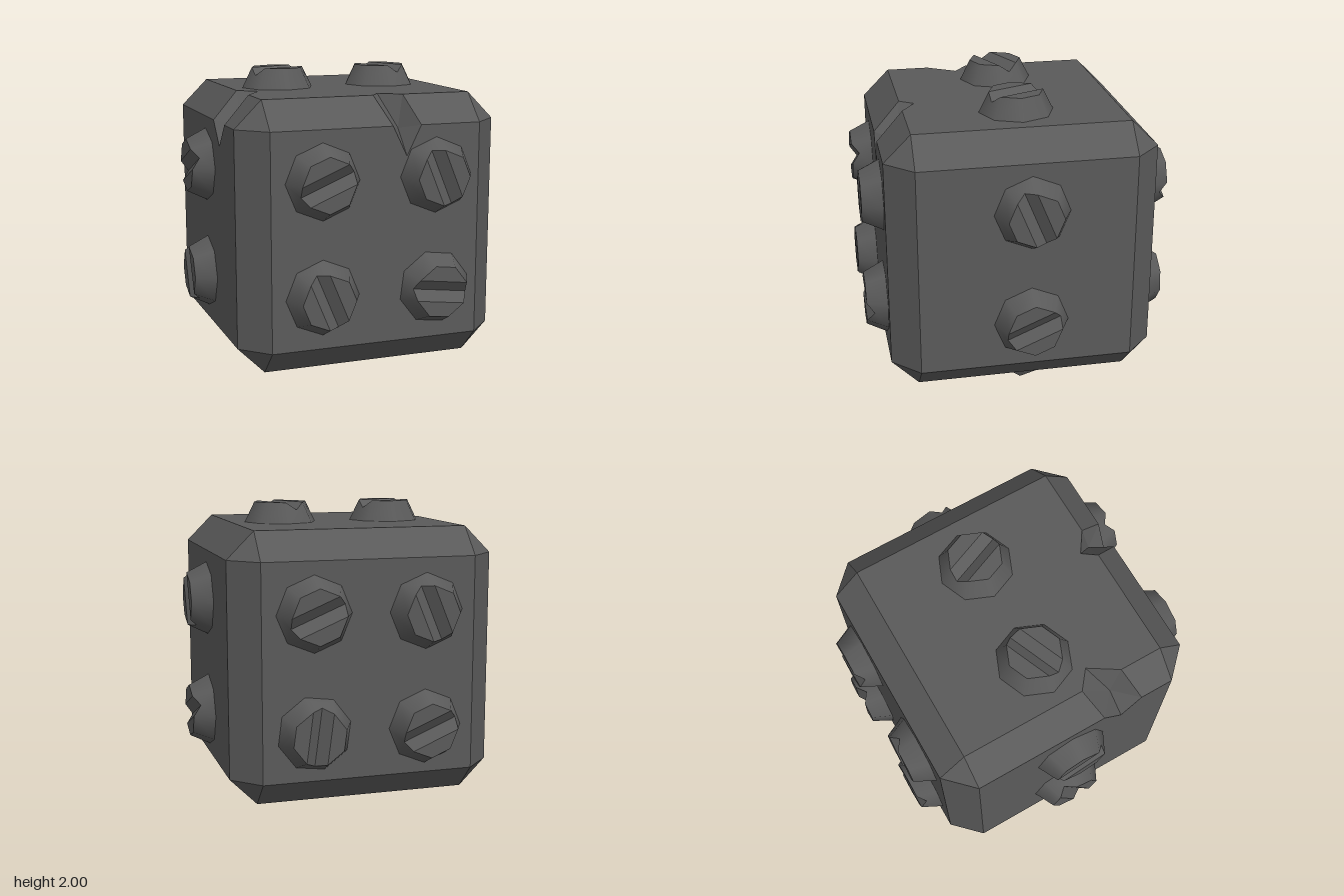
import * as THREE from 'three';

const H = 0.867, C = 0.692;            // half size of the block, half size of its flat faces
const V = (x, y, z) => new THREE.Vector3(x, y, z);

// Collects triangles; each is turned so that it faces along `out`
function addTri(list, a, b, c, out) {
  const n = b.clone().sub(a).cross(c.clone().sub(a));
  list.push(...(n.dot(out) < 0 ? [a, c, b] : [a, b, c]));
}

// Flat polygon (may be concave), triangulated in its own plane
function addFace(list, pts, out) {
  const n = V(0, 0, 0);
  pts.forEach((p, i) => n.add(p.clone().cross(pts[(i + 1) % pts.length])));
  n.normalize();
  const u = pts[1].clone().sub(pts[0]).normalize(), w = n.clone().cross(u);
  const flat = pts.map(p => new THREE.Vector2(p.dot(u), p.dot(w)));
  for (const [a, b, c] of THREE.ShapeUtils.triangulateShape(flat, []))
    addTri(list, pts[a], pts[b], pts[c], out);
}

function toGeometry(list) {
  const g = new THREE.BufferGeometry().setFromPoints(list);
  g.computeVertexNormals();
  return g;
}

// Chips in the two upper edges: tip on top, left pair, lower tip, right pair, valley
const frontChip = {
  T: V(0.10, H, 0.60), A1: V(0.035, H, C), A2: V(0.10, C, H), F: V(0.195, 0.50, H),
  B2: V(0.29, C, H), B1: V(0.235, H, C), valley: V(0.19, 0.66, 0.73)
};
const sideChip = {
  T: V(-0.575, H, 0.225), A1: V(-C, H, 0.13), A2: V(-H, C, 0.20), F: V(-H, 0.54, 0.335),
  B2: V(-H, C, 0.47), B1: V(-C, H, 0.41), valley: V(-0.72, 0.66, 0.33)
};

function blockGeometry() {
  const list = [], f = frontChip, s = sideChip;
  const add = pts => addFace(list, pts, pts.reduce((m, p) => m.add(p), V(0, 0, 0)));
  const at = (i, a, j, b, k, c) => { const p = V(0, 0, 0); p.setComponent(i, a); p.setComponent(j, b); p.setComponent(k, c); return p; };

  // Whole flat faces: right, back and bottom
  for (const [i, side] of [[0, 1], [1, -1], [2, -1]]) {
    const j = (i + 1) % 3, k = (i + 2) % 3;
    add([[-C, -C], [C, -C], [C, C], [-C, C]].map(([a, b]) => at(i, side * H, j, a, k, b)));
  }
  // Flat faces cut by the chips
  add([V(-C, H, -C), V(C, H, -C), V(C, H, C), f.B1, f.T, f.A1, V(-C, H, C), s.B1, s.T, s.A1]);
  add([V(-C, -C, H), V(C, -C, H), V(C, C, H), f.B2, f.F, f.A2, V(-C, C, H)]);
  add([V(-H, -C, -C), V(-H, -C, C), V(-H, C, C), s.B2, s.F, s.A2, V(-H, C, -C)]);

  // Bevelled edges
  for (let k = 0; k < 3; k++) for (const a of [-1, 1]) for (const b of [-1, 1]) {
    const i = (k + 1) % 3, j = (k + 2) % 3;
    if ((k === 0 && a > 0 && b > 0) || (k === 2 && a < 0 && b > 0)) continue;
    add([at(i, a * H, j, b * C, k, -C), at(i, a * H, j, b * C, k, C),
      at(i, a * C, j, b * H, k, C), at(i, a * C, j, b * H, k, -C)]);
  }
  add([V(-C, H, C), f.A1, f.A2, V(-C, C, H)]);
  add([f.B1, V(C, H, C), V(C, C, H), f.B2]);
  add([V(-C, H, -C), s.A1, s.A2, V(-H, C, -C)]);
  add([s.B1, V(-C, H, C), V(-H, C, C), s.B2]);

  // Corner triangles
  for (const x of [-1, 1]) for (const y of [-1, 1]) for (const z of [-1, 1])
    add([V(x * H, y * C, z * C), V(x * C, y * H, z * C), V(x * C, y * C, z * H)]);
  return toGeometry(list);
}

// Inner faces of a chip, fanned around the valley point
function chipGeometry(c) {
  const ring = [c.T, c.A1, c.A2, c.F, c.B2, c.B1], list = [];
  const mid = ring.reduce((m, p) => m.add(p), V(0, 0, 0)).divideScalar(6);
  const out = mid.sub(c.valley);
  ring.forEach((p, i) => addTri(list, p, ring[(i + 1) % 6], c.valley, out));
  return toGeometry(list);
}

// Eight-sided screw head along +z, with a V slot along x
function studGeometry() {
  const R = 0.242, r = 0.175, h = 0.133, depth = 0.048, list = [];
  const ring = (rad, z) => Array.from({ length: 8 }, (_, i) => {
    const a = (i - 0.5) * Math.PI / 4;
    return V(rad * Math.cos(a), rad * Math.sin(a), z);
  });
  const base = ring(R, 0), top = ring(r, h);
  const reach = (r + (R - r) * depth / h) * Math.cos(Math.PI / 8);
  const ends = { 0: V(reach, 0, h - depth), 4: V(-reach, 0, h - depth) };

  // Sloping sides, notched where the slot runs out
  for (let i = 0; i < 8; i++) {
    const j = (i + 1) % 8, e = ends[i], out = base[i].clone().add(base[j]);
    if (e) {
      addTri(list, base[i], base[j], e, out);
      addTri(list, base[i], e, top[i], out);
      addTri(list, base[j], top[j], e, out);
    } else {
      addTri(list, base[i], base[j], top[j], out);
      addTri(list, base[i], top[j], top[i], out);
    }
  }
  const sideCount = list.length, up = V(0, 0, 1);
  // Top lands and slot walls
  addFace(list, [top[1], top[2], top[3], top[4]], up);
  addFace(list, [top[5], top[6], top[7], top[0]], up);
  addFace(list, [top[1], top[4], ends[4], ends[0]], up);
  addFace(list, [top[5], top[0], ends[0], ends[4]], up);

  // Smooth round normals on the sides only
  const g = toGeometry(list), n = g.attributes.normal;
  for (let i = 0; i < sideCount; i++) {
    const p = V(list[i].x, list[i].y, 0).normalize().setZ((R - r) / h).normalize();
    n.setXYZ(i, p.x, p.y, p.z);
  }
  return g;
}

// Each side: its right and up directions, then studs as [right, up, slot angle]
const SIDES = [
  ['front', V(1, 0, 0), V(0, 1, 0), [[-0.36, 0.37, 22.5], [0.395, 0.37, 112.5], [-0.36, -0.36, 112.5], [0.395, -0.36, -7.5]]],
  ['back', V(-1, 0, 0), V(0, 1, 0), [[-0.36, 0.365, 22.5], [0.37, 0.355, 112.5], [-0.36, -0.385, 82.5], [0.37, -0.39, 22.5]]],
  ['left', V(0, 0, -1), V(0, 1, 0), [[0.025, 0.37, 112.5], [0.025, -0.39, 22.5]]],
  ['right', V(0, 0, 1), V(0, 1, 0), [[-0.025, 0.37, 22.5], [-0.025, -0.36, 112.5]]],
  ['top', V(1, 0, 0), V(0, 0, -1), [[-0.37, 0.02, 22.5], [0.36, 0.02, 112.5]]],
  ['bottom', V(1, 0, 0), V(0, 0, 1), [[-0.4, -0.022, 112.5], [0.36, -0.022, 22.5]]]
];

export function createModel() {
  const model = new THREE.Group();
  model.name = 'studdedBlock';
  const iron = new THREE.MeshStandardMaterial({ color: 0x5a5a5a });
  iron.name = 'dark iron grey';

  const addMesh = (parent, geometry, name) => {
    const mesh = new THREE.Mesh(geometry, iron);
    mesh.name = name;
    parent.add(mesh);
    return mesh;
  };
  const block = new THREE.Group();
  block.name = 'block';
  block.position.y = 1;
  model.add(block);
  addMesh(block, blockGeometry(), 'bevelledBody');
  addMesh(block, chipGeometry(frontChip), 'frontEdgeChip');
  addMesh(block, chipGeometry(sideChip), 'rightEdgeChip');

  // Studs on all six sides
  const stud = studGeometry();
  for (const [name, right, up, studs] of SIDES) {
    const side = new THREE.Group(), out = right.clone().cross(up);
    side.name = name + 'Studs';
    side.quaternion.setFromRotationMatrix(new THREE.Matrix4().makeBasis(right, up, out));
    block.add(side);
    for (const [u, v, angle] of studs) {
      const mesh = addMesh(side, stud, name + 'Stud');
      mesh.position.set(u, v, H);
      mesh.rotation.z = THREE.MathUtils.degToRad(angle);
    }
  }
  return model;
}
